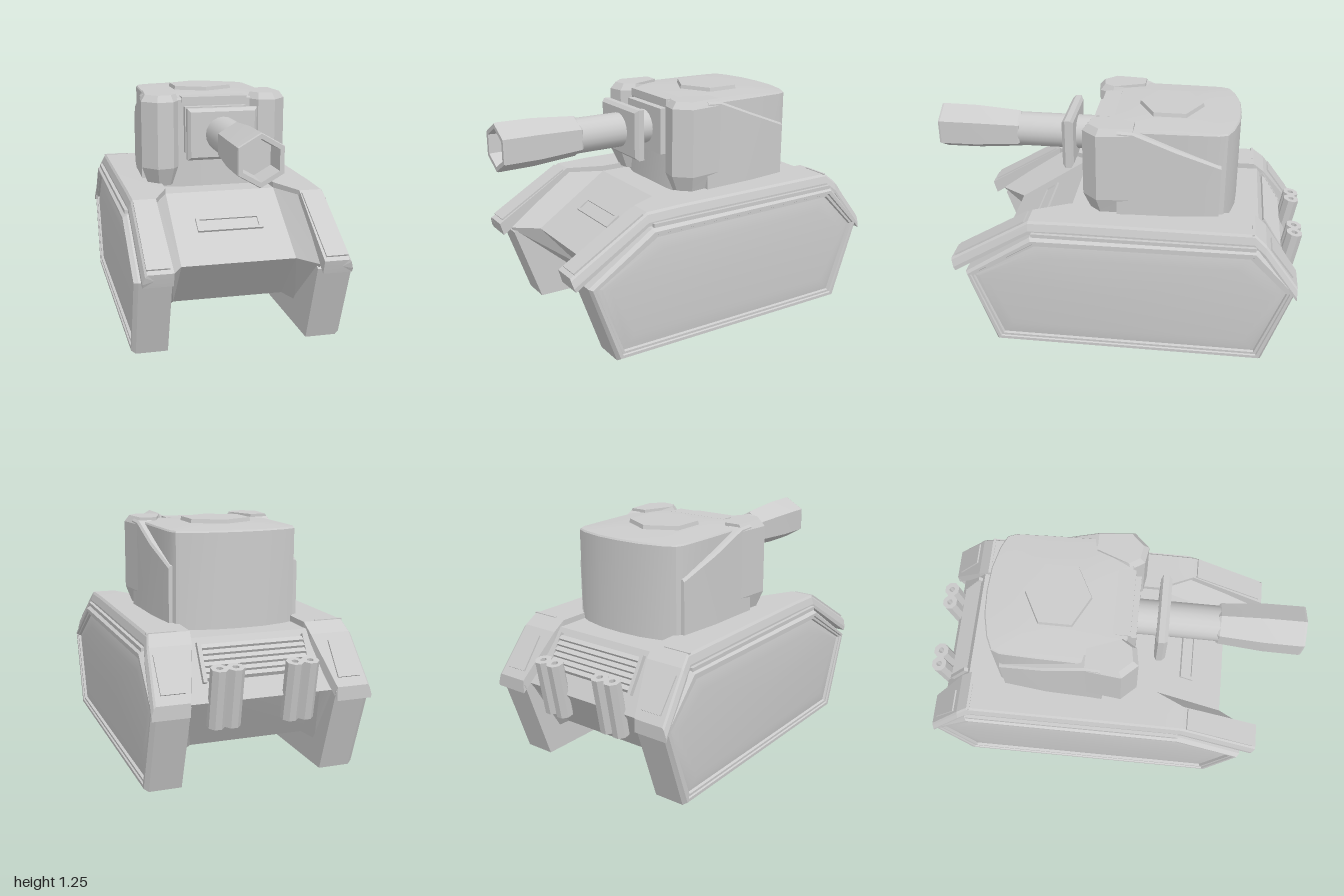
import * as THREE from 'three';
import { toCreasedNormals } from 'three/addons/utils/BufferGeometryUtils.js';

const grey = new THREE.MeshStandardMaterial({ color: 0xcccccc });

// Skin a list of equal-length closed rings, cap both ends, and face it outward.
function loft(rings, crease = 0.4) {
  const tris = [], n = rings[0].length;
  for (let i = 0; i < rings.length - 1; i++) {
    for (let j = 0; j < n; j++) {
      const k = (j + 1) % n;
      const a = rings[i][j], b = rings[i][k], c = rings[i + 1][k], d = rings[i + 1][j];
      tris.push([a, b, c], [a, c, d]);
    }
  }
  const cap = (ring, flip) => {
    const mid = [0, 1, 2].map(q => ring.reduce((s, p) => s + p[q], 0) / n);
    ring.forEach((p, j) => {
      const q = ring[(j + 1) % n];
      tris.push(flip ? [mid, q, p] : [mid, p, q]);
    });
  };
  cap(rings[0], true);
  cap(rings[rings.length - 1], false);
  const volume = tris.reduce((s, [a, b, c]) => s
    + a[0] * (b[1] * c[2] - b[2] * c[1])
    + a[1] * (b[2] * c[0] - b[0] * c[2])
    + a[2] * (b[0] * c[1] - b[1] * c[0]), 0);
  const pos = tris.flatMap(([a, b, c]) => (volume < 0 ? [a, c, b] : [a, b, c])).flat();
  const geo = new THREE.BufferGeometry();
  geo.setAttribute('position', new THREE.Float32BufferAttribute(pos, 3));
  return toCreasedNormals(geo, crease);
}

export function createModel() {
  const model = new THREE.Group();
  const add = (name, geo, x = 0, y = 0, z = 0, rx = 0, parent = model) => {
    const mesh = new THREE.Mesh(geo, grey);
    mesh.name = name;
    mesh.position.set(x, y, z);
    mesh.rotation.x = rx;
    parent.add(mesh);
    return mesh;
  };
  const box = (w, h, d) => new THREE.BoxGeometry(w, h, d);
  const sideRing = (x, profile) => profile.map(([z, y]) => [x, y, z]);

  // Hull: narrow centre profile, widening to meet the track pods
  const centre = [[0.24, 0.725], [0.65, 0.45], [0.42, 0.18], [-0.74, 0.18], [-0.93, 0.45], [-0.76, 0.725]];
  const flank = [[0.42, 0.725], [0.8, 0.46], [0.42, 0.13], [-0.74, 0.13], [-0.93, 0.45], [-0.76, 0.725]];
  add('hull', loft([sideRing(-0.38, flank), sideRing(-0.3, centre), sideRing(0.3, centre), sideRing(0.38, flank)], 0.1));

  // Glacis vision slot
  const glacis = Math.atan2(0.275, 0.41);
  const slot = new THREE.Group();
  slot.name = 'visionSlot';
  slot.position.set(0, 0.593, 0.437);
  slot.rotation.x = glacis;
  model.add(slot);
  for (const s of [-1, 1]) {
    add('slotRail', box(0.35, 0.025, 0.014), 0, 0, s * 0.038, 0, slot);
    add('slotEnd', box(0.02, 0.025, 0.09), s * 0.165, 0, 0, 0, slot);
  }
  add('slotPlate', box(0.33, 0.008, 0.08), 0, 0, 0, 0, slot);

  // Engine louvres on the rear slope
  const rear = Math.atan2(0.275, 0.17);
  for (let i = 0; i < 6; i++) {
    const t = i / 5;
    add('louvre', box(0.53, 0.022, 0.026), 0, 0.682 - 0.125 * t, -0.797 - 0.078 * t, -rear + 0.5);
  }
  for (const s of [-1, 1]) {
    add('louvreFrame', box(0.02, 0.03, 0.2), s * 0.275, 0.62, -0.835, -rear);
  }

  // Paired octagonal exhausts
  const pipe = new THREE.LatheGeometry([[0, -0.15], [0.044, -0.15], [0.044, 0.15], [0.017, 0.15], [0.017, 0.08], [0, 0.08]]
    .map(p => new THREE.Vector2(...p)), 8).rotateY(Math.PI / 8);
  const pipeGeo = toCreasedNormals(pipe, 0.3);
  for (const x of [-0.23, -0.15, 0.15, 0.23]) add('exhaust', pipeGeo, x, 0.475, -0.935, -0.17);

  // Track pods with a raised rim and a softly bulged panel
  const pod = [[0.63, 0], [0.78, 0.43], [0.42, 0.67], [-0.76, 0.68], [-0.97, 0.45], [-0.82, 0]];
  const inset = d => pod.map(([z, y]) => [-0.09 + (z + 0.09) * (1 - d / 0.87), 0.34 + (y - 0.34) * (1 - d / 0.34)]);
  const podSteps = [[0.37, 0], [0.535, 0], [0.557, 0.014], [0.557, 0.03], [0.549, 0.034], [0.549, 0.046], [0.535, 0.05], [0.54, 0.075], [0.545, 0.12]];
  // Fender stations: z, top y, inner x, outer x
  const stations = [
    [0.86, 0.495, 0.375, 0.515], [0.43, 0.75, 0.385, 0.515], [0.24, 0.755, 0.3, 0.515],
    [-0.74, 0.755, 0.3, 0.515], [-0.8, 0.705, 0.31, 0.53], [-0.975, 0.475, 0.375, 0.55],
  ];
  for (const s of [-1, 1]) {
    add('trackPod', loft(podSteps.map(([x, d]) => sideRing(s * x, inset(d))), 0.3));
    add('fender', loft(stations.map(([z, y, a, b], i) => {
      const back = i === 0 ? 0.01 : 0;
      return [[s * a, y, z], [s * (b - 0.01), y, z], [s * b, y - 0.012, z],
        [s * (b + 0.012), y - 0.05, z - back], [s * (b + 0.012), y - 0.07, z - back * 2], [s * a, y - 0.07, z - back * 2]];
    }), 0.1));
    // Raised plates on the front and rear of each fender
    add('frontFenderPlate', box(0.115, 0.012, 0.45), s * 0.448, 0.626, 0.645, Math.atan2(0.255, 0.43));
    add('rearFenderPlate', box(0.12, 0.012, 0.2), s * 0.45, 0.595, -0.887, -Math.atan2(0.23, 0.175));
    add('fenderSeam', box(0.15, 0.008, 0.012), s * 0.44, 0.755, -0.73);
    add('skirtStrip', box(0.02, 0.02, 1.16), s * 0.535, 0.685, -0.17);
  }

  // Turret shell: mirrored plan outline with a bowed rear
  const half = [[0.19, 0.1], [0.33, 0.06], [0.345, -0.1], [0.34, -0.35], [0.333, -0.53], [0.315, -0.575], [0.25, -0.605], [0.13, -0.633]];
  const outline = [...half, [0, -0.64], ...half.slice().reverse().map(([x, z]) => [-x, z])];
  const plan = (pts, y, k = 1) => pts.map(([x, z]) => [x * k, y, -0.25 + (z + 0.25) * k]);
  add('turret', loft([plan(outline, 0.72), plan(outline, 1.205), plan(outline, 1.213, 0.985), plan(outline, 1.225, 0.6)], 0.35));
  add('turretBrow', box(0.36, 0.04, 0.09), 0, 1.2, 0.065);

  // Cheek armour and tapering side armour
  const cheek = [[0.19, 0.08], [0.235, 0.15], [0.325, 0.165], [0.4, 0.085], [0.38, -0.1], [0.27, -0.1]];
  const about = (y, k) => cheek.map(([x, z]) => [0.28 + (x - 0.28) * k, y, z < -0.05 ? z : 0.02 + (z - 0.02) * k]);
  const flipX = (ring, s) => ring.map(([x, y, z]) => [s * x, y, z]);
  for (const s of [-1, 1]) {
    add('cheekArmour', loft([[0.74, 0.7], [0.84, 1], [1.2, 1], [1.235, 0.8]].map(([y, k]) => flipX(about(y, k), s)), 0.2));
    const panel = (z, x, top) => [[s * 0.3, 0.73, z], [s * x, 0.73, z], [s * x, top - 0.012, z], [s * (x - 0.01), top, z], [s * 0.3, top, z]];
    add('sideArmour', loft([panel(-0.02, 0.385, 1.225), panel(-0.1, 0.38, 1.22), panel(-0.32, 0.372, 1.13), panel(-0.55, 0.345, 1.04)], 0.2));
  }

  // Roof hatch
  const hatch = new THREE.CylinderGeometry(0.168, 0.178, 0.045, 6).toNonIndexed();
  hatch.computeVertexNormals();
  add('hatch', hatch, 0, 1.223, -0.27).scale.x = 1.1;

  // Gun: mantlet, shield plate, tube and hexagonal muzzle
  const gunY = 1.045;
  const square = (z, w, h) => [[-w, gunY - h, z], [w, gunY - h, z], [w, gunY + h, z], [-w, gunY + h, z]];
  add('mantlet', box(0.34, 0.25, 0.08), 0, gunY, 0.1);
  add('gunShield', loft([square(0.24, 0.17, 0.118), square(0.252, 0.188, 0.136), square(0.282, 0.188, 0.136), square(0.3, 0.172, 0.12)], 0.1));
  add('gunTube', new THREE.CylinderGeometry(0.093, 0.093, 0.47, 20).rotateX(Math.PI / 2), 0, gunY, 0.345);
  const hex = ([z, r]) => Array.from({ length: 6 }, (_, i) => {
    const a = (i + 0.5) * Math.PI / 3;
    return [r * Math.cos(a), gunY + r * Math.sin(a), z];
  });
  add('muzzle', loft([[0.555, 0.1], [0.565, 0.107], [0.8, 0.126], [0.99, 0.128], [1, 0.124], [1, 0.1], [0.88, 0.092]].map(hex), 0.2));
  return model;
}
